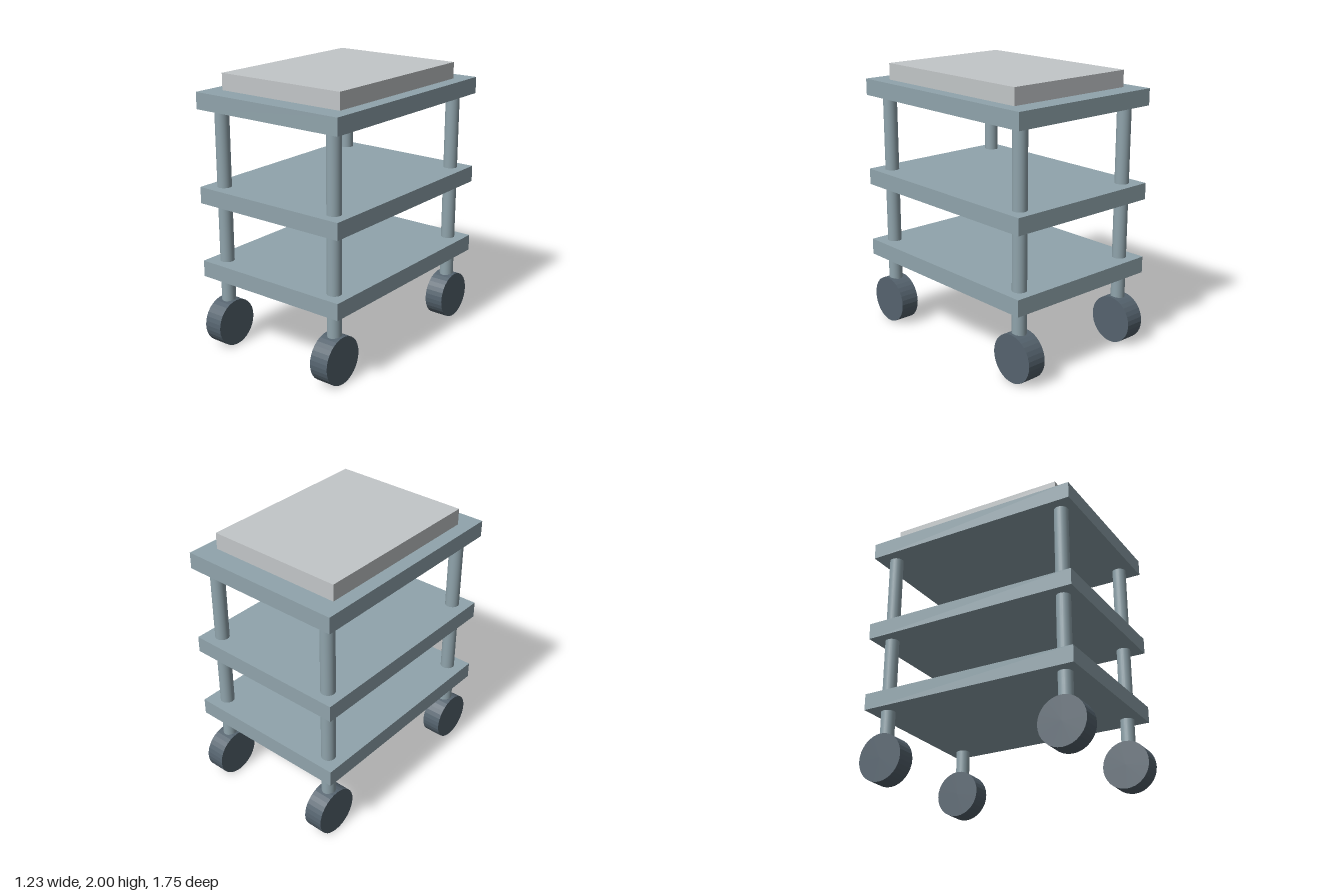
import * as THREE from 'three';

export function createModel() {
  const cart = new THREE.Group();
  cart.name = 'trolley';

  const frameMat = new THREE.MeshStandardMaterial({ color: 0x90a4ac });
  frameMat.name = 'blue grey frame';
  const padMat = new THREE.MeshStandardMaterial({ color: 0xc2c6c8 });
  padMat.name = 'light grey pad';
  const wheelMat = new THREE.MeshStandardMaterial({ color: 0x55636e });
  wheelMat.name = 'dark slate wheel';
  wheelMat.flatShading = true;

  const add = (name, geometry, material, x, y, z) => {
    const mesh = new THREE.Mesh(geometry, material);
    mesh.name = name;
    mesh.position.set(x, y, z);
    cart.add(mesh);
  };

  // Three equal shelves and the raised top pad
  const shelf = new THREE.BoxGeometry(1.226, 0.12, 1.638);
  add('lowerShelf', shelf, frameMat, 0, 0.588, 0);
  add('middleShelf', shelf, frameMat, 0, 1.143, 0);
  add('topShelf', shelf, frameMat, 0, 1.82, 0);
  add('topPad', new THREE.BoxGeometry(1.024, 0.12, 1.332), padMat, 0, 1.94, 0);

  // A post and a wheel at each corner
  const postBottom = 0.34, postTop = 1.8;
  const post = new THREE.CylinderGeometry(0.051, 0.051, postTop - postBottom, 24);
  const wheel = new THREE.CylinderGeometry(0.174, 0.174, 0.143, 32).rotateZ(Math.PI / 2);
  for (const [sx, side] of [[1, 'Left'], [-1, 'Right']]) {
    for (const [sz, end] of [[1, 'front'], [-1, 'back']]) {
      add(end + side + 'Post', post, frameMat, sx * 0.492, (postBottom + postTop) / 2, sz * 0.7);
      add(end + side + 'Wheel', wheel, wheelMat, sx * 0.492, 0.174, sz * 0.7);
    }
  }
  return cart;
}
